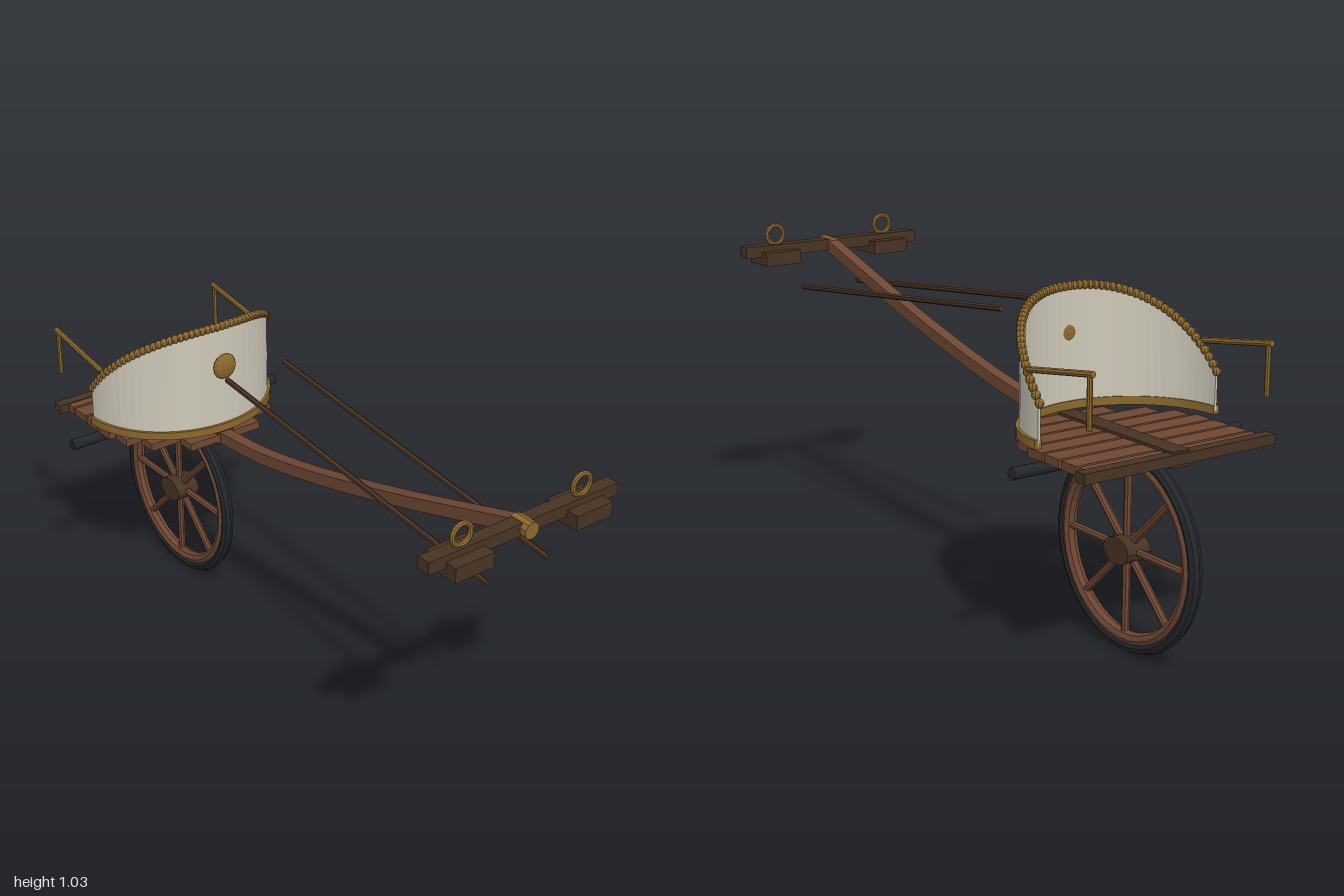
import * as THREE from 'three';

const paint = (name, color) => {
  const m = new THREE.MeshStandardMaterial({ color, flatShading: true });
  m.name = name;
  return m;
};

export function createModel() {
  const wood = paint('brown wood', 0x6e4733);
  const darkWood = paint('dark wood', 0x483323);
  const gold = paint('gilded trim', 0x8c682c);
  const hide = paint('pale hide', 0xcdc8b8);
  const iron = paint('black iron', 0x23272a);

  const model = new THREE.Group();
  model.name = 'cart';

  const add = (name, geometry, material, x = 0, y = 0, z = 0, parent = model) => {
    const mesh = new THREE.Mesh(geometry, material);
    mesh.name = name;
    mesh.position.set(x, y, z);
    parent.add(mesh);
    return mesh;
  };
  const box = (name, w, h, d, mat, x, y, z) =>
    add(name, new THREE.BoxGeometry(w, h, d), mat, x, y, z);
  // Round bar between two points
  const rod = (name, a, b, r, mat, sides = 8, parent = model) => {
    const from = new THREE.Vector3(...a), to = new THREE.Vector3(...b);
    const dir = to.clone().sub(from);
    const mesh = add(name, new THREE.CylinderGeometry(r, r, dir.length(), sides), mat, 0, 0, 0, parent);
    mesh.position.copy(from).add(to).multiplyScalar(0.5);
    mesh.quaternion.setFromUnitVectors(new THREE.Vector3(0, 1, 0), dir.normalize());
    return mesh;
  };

  // Rounded front of the body: angle 0 is the front, +-90 degrees the sides
  const CZ = -0.698, RX = 0.311, RZ = 0.284;
  const arcPoint = (t, offset, y) => [
    (RX + offset) * Math.sin(t), y, CZ + (RZ + offset) * Math.cos(t)];
  const rimHeight = t => 1.005 - 0.235 * Math.pow(Math.abs(t) / (Math.PI / 2), 2.3);

  // Sweep a four-cornered section round the arc
  const arcSolid = (inner, outer, low, high, steps = 36) => {
    const pos = [], index = [];
    for (let i = 0; i <= steps; i++) {
      const t = (i / steps - 0.5) * Math.PI, top = high(t);
      pos.push(...arcPoint(t, outer, low), ...arcPoint(t, outer, top),
        ...arcPoint(t, inner, top), ...arcPoint(t, inner, low));
    }
    for (let i = 0; i < steps; i++) {
      for (let j = 0; j < 4; j++) {
        const k = (j + 1) % 4, a = i * 4 + j, b = a + 4, c = i * 4 + 4 + k, d = i * 4 + k;
        index.push(a, b, c, a, c, d);
      }
    }
    const e = steps * 4;
    index.push(0, 1, 2, 0, 2, 3, e, e + 2, e + 1, e, e + 3, e + 2);
    const g = new THREE.BufferGeometry();
    g.setAttribute('position', new THREE.Float32BufferAttribute(pos, 3));
    g.setIndex(index);
    const flat = g.toNonIndexed();
    flat.computeVertexNormals();
    return flat;
  };

  // Body wall, base band and beaded rim
  add('bodyWall', arcSolid(-0.004, 0.004, 0.655, rimHeight), hide);
  add('baseBand', arcSolid(-0.008, 0.013, 0.645, () => 0.67), gold);
  const beads = new THREE.Group();
  beads.name = 'rimBeads';
  model.add(beads);
  const beadGeometry = new THREE.SphereGeometry(0.0135, 8, 6);
  for (let i = 0; i <= 56; i++) {
    const t = (i / 56 - 0.5) * Math.PI;
    add('rimBead', beadGeometry, gold, ...arcPoint(t, 0, rimHeight(t)), beads);
  }
  const boss = add('frontBoss', new THREE.SphereGeometry(0.042, 12, 8), gold, 0, 0.87, -0.404);
  boss.scale.z = 0.42;

  // Floor planks, shortened to follow the rounded front
  for (let i = 0; i < 7; i++) {
    const z = -0.887 + i * 0.0745;
    const f = Math.max(0, (z + 0.72) / 0.31);
    const half = Math.min(0.3, 0.31 * Math.sqrt(1 - f * f));
    box('floorPlank', half * 2, 0.025, 0.064, wood, 0, 0.6195, z);
  }
  box('floorBeam', 0.06, 0.046, 0.5, darkWood, 0, 0.617, -0.66);
  box('rearSill', 0.664, 0.03, 0.036, darkWood, 0, 0.62, -0.902);

  // Hand rails with hanging posts
  for (const s of [-1, 1]) {
    const x = s * 0.307;
    rod('handRail', [x, 0.85, -0.64], [x, 0.892, -0.918], 0.009, gold);
    rod('railPost', [x, 0.892, -0.905], [x, 0.742, -0.905], 0.008, gold);
  }

  // Axle
  rod('axle', [-0.4, 0.592, -0.697], [0.4, 0.592, -0.697], 0.0175, iron, 12);

  // Wheel
  const wheel = new THREE.Group();
  wheel.name = 'wheel';
  wheel.position.set(0, 0.305, -0.695);
  model.add(wheel);
  const ring = (name, R, r, mat) => {
    const g = new THREE.TorusGeometry(R, r, 8, 40);
    g.rotateY(Math.PI / 2);
    add(name, g, mat, 0, 0, 0, wheel);
  };
  ring('tyre', 0.285, 0.02, iron);
  ring('wheelRim', 0.263, 0.021, wood);
  for (let i = 0; i < 8; i++) {
    const a = i * Math.PI / 4, c = Math.cos(a), s = Math.sin(a);
    rod('spoke', [0, 0.02 * s, 0.02 * c], [0, 0.255 * s, 0.255 * c], 0.012, wood, 8, wheel);
  }
  const hubGeometry = new THREE.CylinderGeometry(0.04, 0.04, 0.082, 14);
  hubGeometry.rotateZ(Math.PI / 2);
  add('hub', hubGeometry, darkWood, 0, 0, 0, wheel).scale.z = 1.38;

  // Curved draught pole, drawn in side profile and extruded across
  const curve = new THREE.CatmullRomCurve3([
    [-0.43, 0.617], [-0.21, 0.637], [0.03, 0.683], [0.245, 0.736],
    [0.46, 0.795], [0.67, 0.858], [0.93, 0.938],
  ].map(([z, y]) => new THREE.Vector3(z, y, 0)));
  const upper = [], lower = [];
  for (let i = 0; i <= 24; i++) {
    const p = curve.getPoint(i / 24), t = curve.getTangent(i / 24);
    upper.push(new THREE.Vector2(p.x - t.y * 0.019, p.y + t.x * 0.019));
    lower.unshift(new THREE.Vector2(p.x + t.y * 0.019, p.y - t.x * 0.019));
  }
  const poleGeometry = new THREE.ExtrudeGeometry(
    new THREE.Shape([...upper, ...lower]), { depth: 0.04, bevelEnabled: false });
  poleGeometry.rotateY(-Math.PI / 2);
  add('draughtPole', poleGeometry, wood, 0.02, 0, 0);

  // Yoke with pads, rein rings and centre peg
  box('yoke', 0.664, 0.038, 0.042, darkWood, 0, 0.939, 0.94);
  rod('yokePeg', [0, 0.939, 0.915], [0, 0.939, 0.982], 0.025, gold, 10);
  for (const s of [-1, 1]) {
    box('yokePad', 0.13, 0.045, 0.116, darkWood, s * 0.21, 0.916, 0.942);
    add('reinRing', new THREE.TorusGeometry(0.031, 0.008, 8, 18), gold, s * 0.21, 0.988, 0.943);
    rod('traceRod', [s * 0.107, 0.799, 0.94], [s * 0.107, 0.921, -0.235], 0.009, darkWood, 6);
  }

  return model;
}
